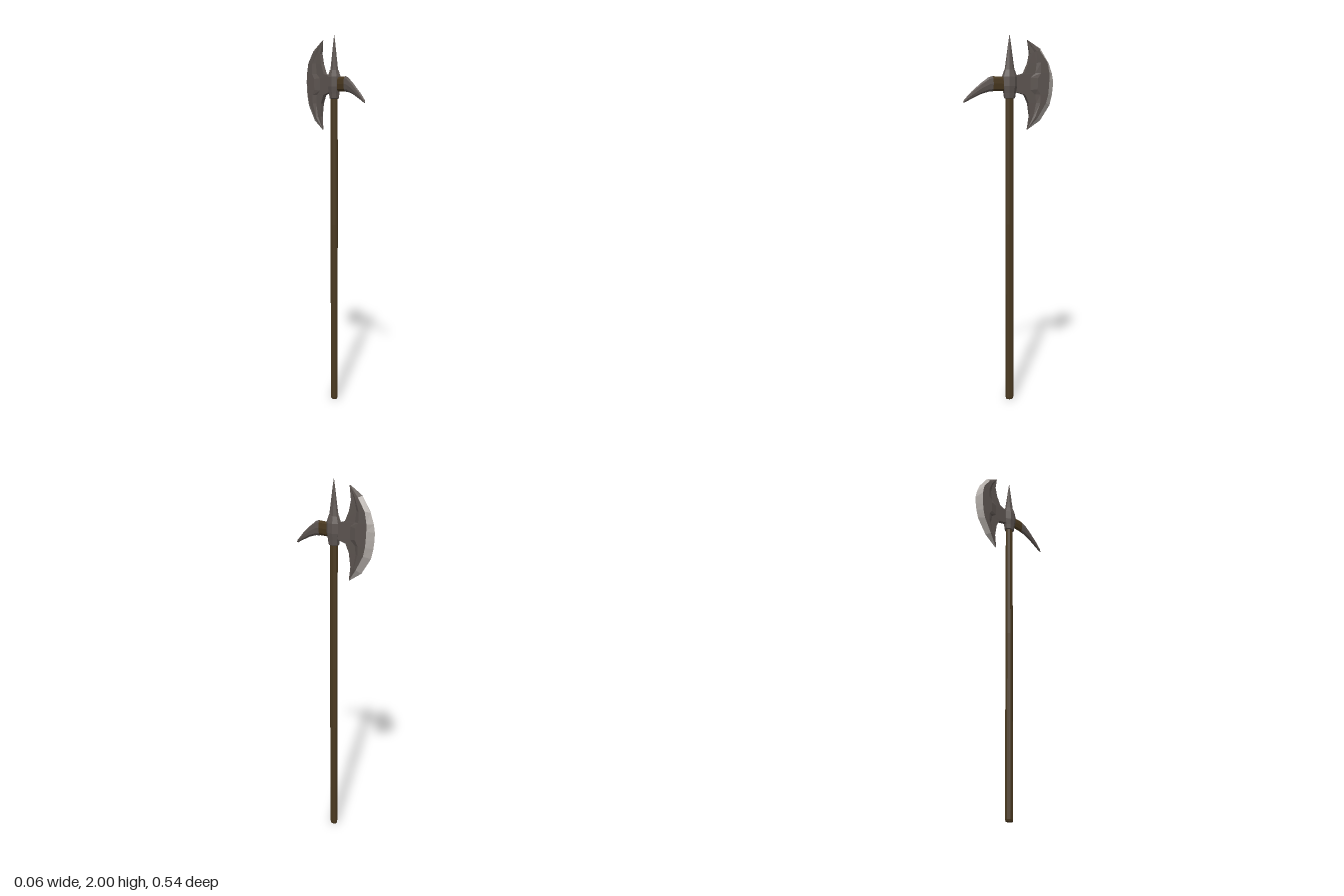
import * as THREE from 'three';

// faceted normals for the low-poly look
function facet(geometry) {
  const g = geometry.index ? geometry.toNonIndexed() : geometry;
  g.computeVertexNormals();
  return g;
}

// faceted column turned around y, squashed in x
function column(profile, squash, material, name) {
  const points = profile.map(([r, y]) => new THREE.Vector2(r, y));
  const g = new THREE.LatheGeometry(points, 8, Math.PI / 8);
  g.scale(squash, 1, 1);
  const mesh = new THREE.Mesh(facet(g), material);
  mesh.name = name;
  return mesh;
}

// skin over closed rings; keep(station, side) picks the faces
function loft(rings, material, name, keep = () => true) {
  const pos = [];
  const n = rings[0].length;
  for (let i = 0; i < rings.length - 1; i++) {
    for (let j = 0; j < n; j++) {
      if (!keep(i, j)) continue;
      const k = (j + 1) % n;
      const a = rings[i][j], b = rings[i][k], c = rings[i + 1][k], d = rings[i + 1][j];
      pos.push(...a, ...b, ...c, ...a, ...c, ...d);
    }
  }
  const g = new THREE.BufferGeometry();
  g.setAttribute('position', new THREE.Float32BufferAttribute(pos, 3));
  const mesh = new THREE.Mesh(facet(g), material);
  mesh.name = name;
  return mesh;
}

// oval ring in the xy plane
function oval(z, y, rx, ry) {
  return Array.from({ length: 8 }, (_, i) => {
    const a = (i / 8) * Math.PI * 2;
    return [rx * Math.cos(a), y + ry * Math.sin(a), z];
  });
}

export function createModel() {
  const wood = new THREE.MeshStandardMaterial({ color: 0x4b3a21 });
  const iron = new THREE.MeshStandardMaterial({ color: 0x5f5753 });
  const steel = new THREE.MeshStandardMaterial({ color: 0xb3ada8 });
  wood.name = 'wood';
  iron.name = 'iron';
  steel.name = 'steel';

  const model = new THREE.Group();
  model.name = 'poleAxe';

  // shaft
  model.add(column([[0.001, 0], [0.02, 0.002], [0.023, 0.012], [0.0235, 1], [0.0225, 1.7]], 0.8, wood, 'shaft'));

  // socket and top spike
  model.add(column(
    [[0.02, 1.67], [0.031, 1.675], [0.035, 1.7], [0.043, 1.735], [0.043, 1.785], [0.03, 1.82], [0.001, 1.825]],
    0.75, iron, 'socket'));
  model.add(column([[0.029, 1.815], [0.019, 1.88], [0.009, 1.95], [0.001, 2]], 0.66, iron, 'topSpike'));

  // front pick with its wrapped root
  model.add(loft([oval(0.03, 1.747, 0.011, 0.037), oval(0.1, 1.747, 0.011, 0.038)], wood, 'pickWrap'));
  model.add(loft([
    oval(0.099, 1.747, 0.004, 0.01),
    oval(0.1, 1.747, 0.012, 0.04),
    oval(0.125, 1.742, 0.011, 0.037),
    oval(0.17, 1.72, 0.01, 0.028),
    oval(0.225, 1.685, 0.008, 0.018),
    oval(0.265, 1.655, 0.005, 0.008),
    oval(0.272, 1.65, 0.001, 0.002),
  ], iron, 'pick'));

  // blade stations from bottom to top: inner z y, ridge z y, outer z y, half thickness
  const stations = [
    [-0.106, 1.508, -0.108, 1.508, -0.112, 1.509, 0.003],
    [-0.122, 1.58, -0.165, 1.572, -0.19, 1.557, 0.017],
    [-0.112, 1.65, -0.215, 1.65, -0.25, 1.64, 0.02],
    [-0.09, 1.693, -0.228, 1.695, -0.264, 1.69, 0.021],
    [-0.03, 1.708, -0.232, 1.73, -0.27, 1.73, 0.021],
    [-0.03, 1.79, -0.235, 1.775, -0.272, 1.77, 0.021],
    [-0.085, 1.805, -0.235, 1.81, -0.264, 1.81, 0.021],
    [-0.111, 1.858, -0.222, 1.867, -0.243, 1.863, 0.02],
    [-0.122, 1.91, -0.175, 1.928, -0.19, 1.937, 0.017],
    [-0.106, 1.98, -0.107, 1.98, -0.112, 1.978, 0.003],
  ];
  const rings = stations.map(([iz, iy, rz, ry, oz, oy, t]) => {
    const at = (s, x) => [x, iy + (ry - iy) * s, iz + (rz - iz) * s];
    const side = [at(1, t), at(0.65, t), at(0.45, t * 0.52), at(0, t * 0.48)];
    const mirrored = side.map(([x, y, z]) => [-x, y, z]);
    return [[0, oy, oz], ...mirrored, ...side.reverse()];
  });
  const isEdge = (i, j) => (j === 0 || j === 8) && i < 8;
  model.add(loft(rings, iron, 'bladeBody', (i, j) => !isEdge(i, j)));
  model.add(loft(rings, steel, 'bladeEdge', isEdge));

  return model;
}
